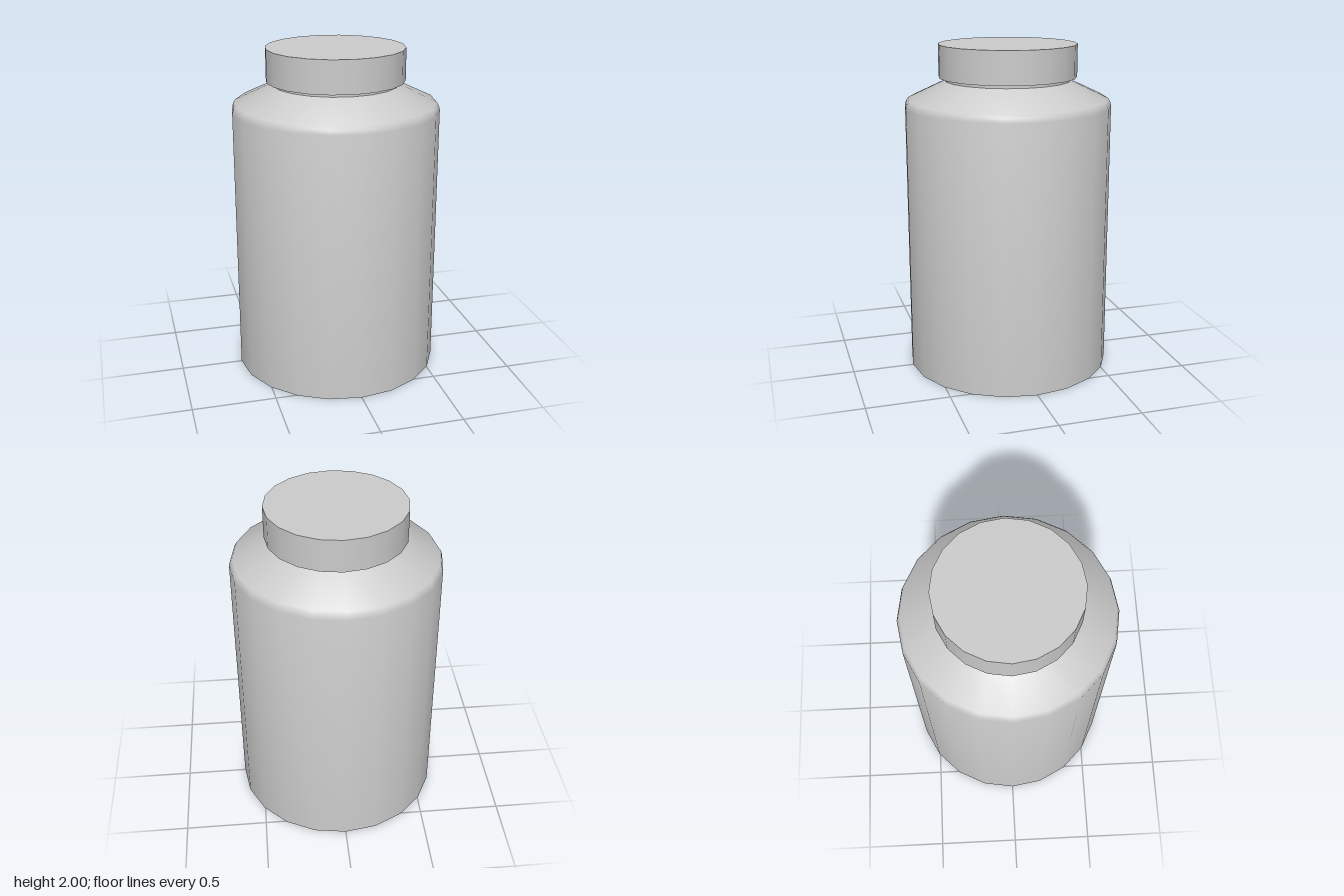
import * as THREE from 'three';
import { toCreasedNormals } from 'three/addons/utils/BufferGeometryUtils.js';

const SIDES = 20;

export function createModel() {
  const group = new THREE.Group();
  const material = new THREE.MeshStandardMaterial({ color: 0xcccccc });

  const add = (name, geometry) => {
    const mesh = new THREE.Mesh(geometry, material);
    mesh.name = name;
    group.add(mesh);
    return mesh;
  };

  // Bottle: flat base, straight wall, softened shoulder edge, sloped shoulder, short neck
  const profile = [
    [0, 0], [0.625, 0], [0.625, 1.63], [0.618, 1.655], [0.605, 1.675],
    [0.386, 1.778], [0.38, 1.783], [0.38, 1.81],
  ].map(([r, y]) => new THREE.Vector2(r, y));
  add('bottle', toCreasedNormals(new THREE.LatheGeometry(profile, SIDES), THREE.MathUtils.degToRad(42)));

  // Cap: closed disc overhanging the neck
  const capBottom = 1.803;
  const capHeight = 2 - capBottom;
  add('cap', new THREE.CylinderGeometry(0.417, 0.417, capHeight, SIDES))
    .position.y = capBottom + capHeight / 2;

  return group;
}
